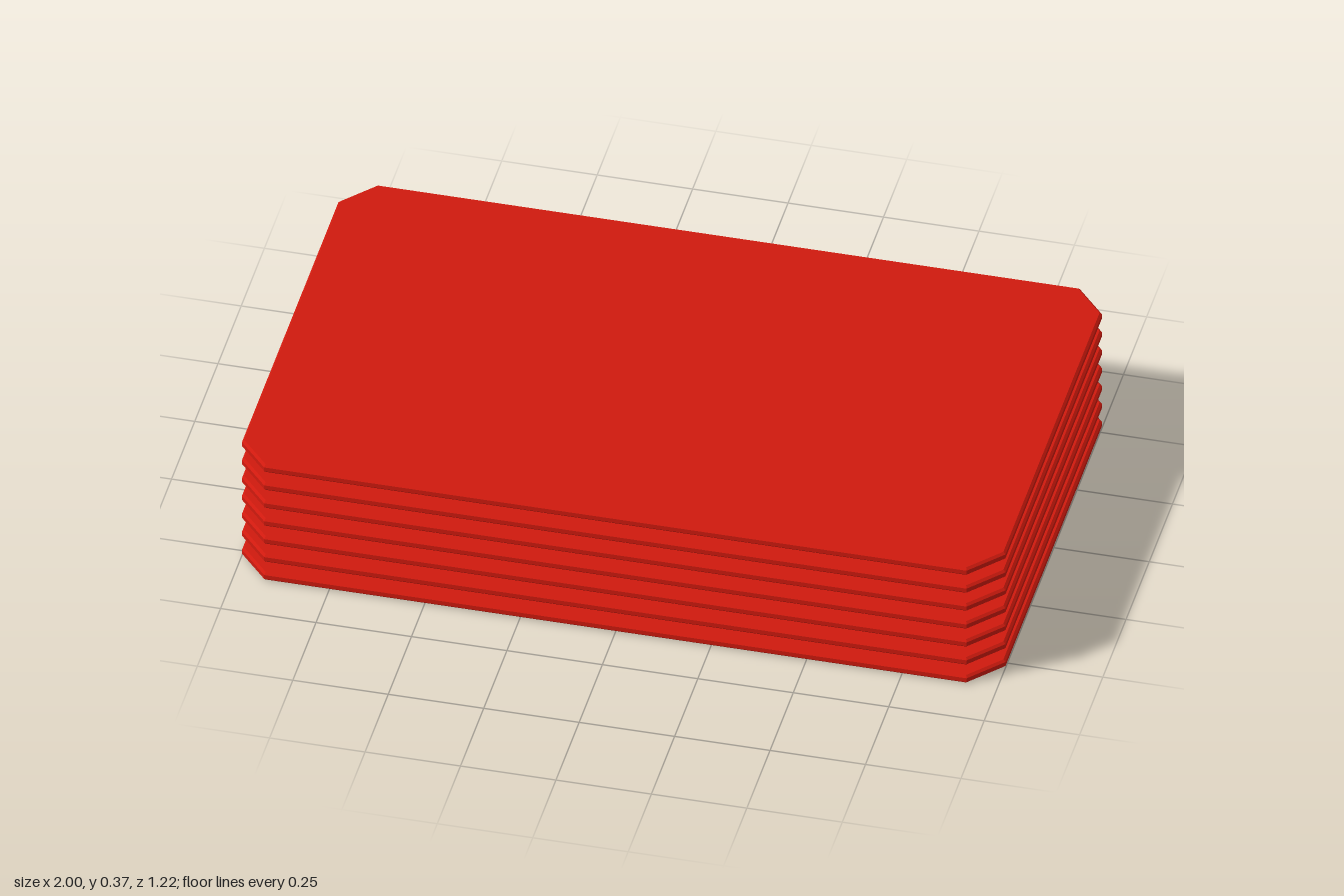
import * as THREE from 'three';

const COUNT = 7, PITCH = 0.0573, THICK = 0.024, BEVEL = 0.006;

// Rectangle with cut corners, slightly bevelled all around its rim, lying flat on y = 0
function plateGeometry() {
  const w = 1, d = 0.61, cx = 0.08, cz = 0.09;
  const outline = new THREE.Shape([
    [w, -d + cz], [w, d - cz], [w - cx, d], [-w + cx, d],
    [-w, d - cz], [-w, -d + cz], [-w + cx, -d], [w - cx, -d],
  ].map(([x, y]) => new THREE.Vector2(x, y)));
  const geometry = new THREE.ExtrudeGeometry(outline, {
    depth: THICK - 2 * BEVEL,
    bevelEnabled: true,
    bevelThickness: BEVEL,
    bevelSize: BEVEL,
    bevelOffset: -BEVEL,
    bevelSegments: 1,
  });
  geometry.rotateX(-Math.PI / 2);
  geometry.translate(0, BEVEL, 0);
  return geometry;
}

export function createModel() {
  const group = new THREE.Group();
  group.name = 'plateStack';
  const material = new THREE.MeshStandardMaterial({ color: 0xd01a0e, flatShading: true });
  const geometry = plateGeometry();

  // Evenly spaced stack of thin plates
  for (let i = 0; i < COUNT; i++) {
    const plate = new THREE.Mesh(geometry, material);
    plate.name = `plate${i + 1}`;
    plate.position.y = i * PITCH;
    group.add(plate);
  }
  return group;
}
